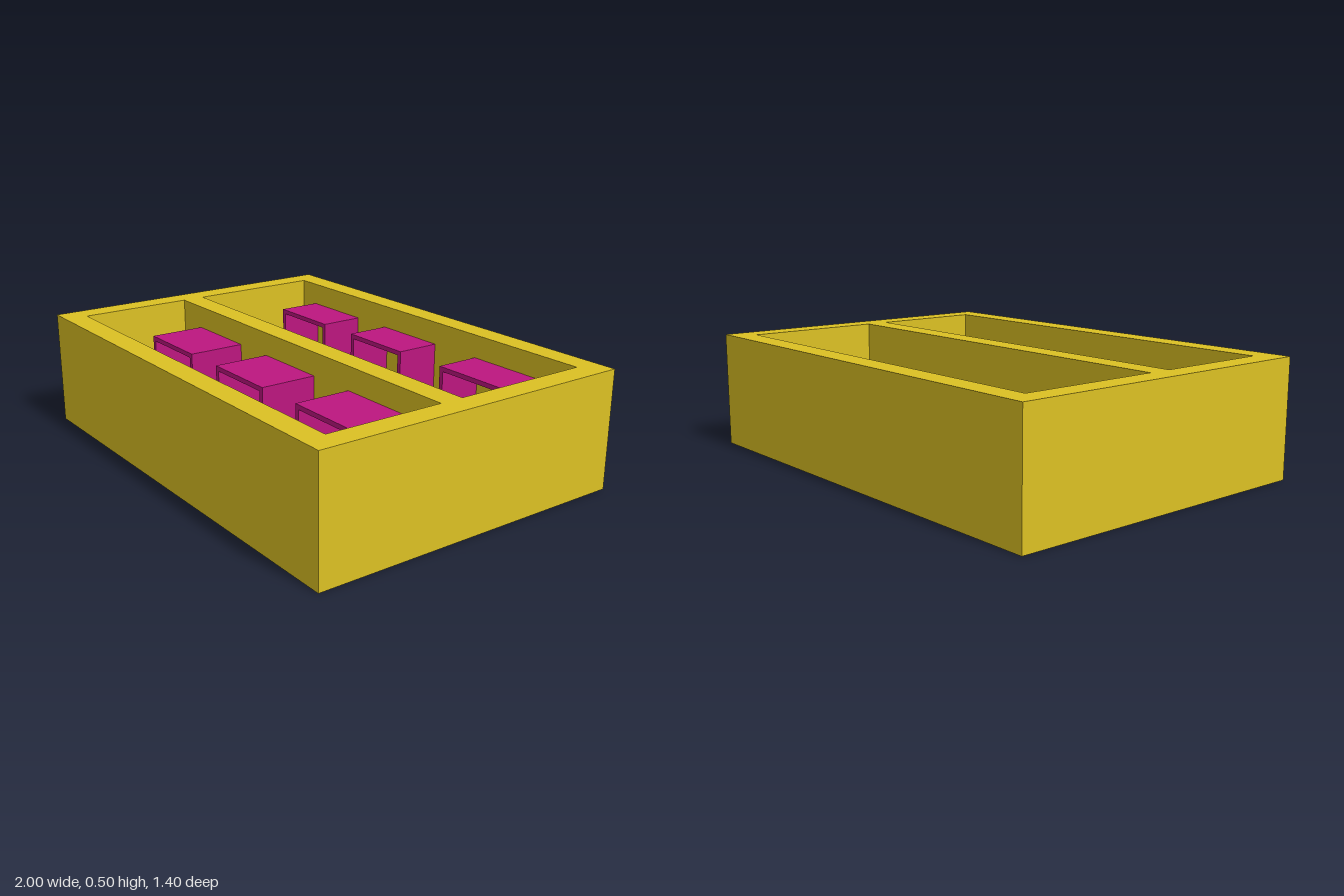
import * as THREE from 'three';

// Path around a rectangle, corner to corner
function rect(path, x0, y0, x1, y1) {
  path.moveTo(x0, y0);
  path.lineTo(x1, y0);
  path.lineTo(x1, y1);
  path.lineTo(x0, y1);
  path.closePath();
  return path;
}

// Rectangle with rectangular holes, extruded along z
function extrudeFrame(outer, holes, depth) {
  const shape = rect(new THREE.Shape(), ...outer);
  for (const h of holes) shape.holes.push(rect(new THREE.Path(), ...h));
  return new THREE.ExtrudeGeometry(shape, { depth, bevelEnabled: false });
}

export function createModel() {
  const model = new THREE.Group();
  model.name = 'dividedTray';
  const yellow = new THREE.MeshStandardMaterial({ color: 0xdcc123 });
  const magenta = new THREE.MeshStandardMaterial({ color: 0xbc167f });

  // Open frame with a dividing wall (shape y becomes -z)
  const frame = new THREE.Mesh(
    extrudeFrame([-1, -0.7, 1, 0.7], [[-0.9, 0, 0.9, 0.6], [-0.9, -0.6, 0.9, -0.1]], 0.5),
    yellow
  );
  frame.rotation.x = -Math.PI / 2;
  frame.name = 'outerFrame';
  model.add(frame);

  // Two rows of thin-walled cubbies, fixed to the wall behind them
  const width = 0.35, bottom = 0.1, top = 0.4, t = 0.02;
  const rows = [
    { name: 'backCubby', z: -0.6, depth: 0.2, lefts: [-0.8, -0.25, 0.35] },
    { name: 'frontCubby', z: 0.1, depth: 0.25, lefts: [-0.75, -0.2, 0.375] },
  ];
  for (const { name, z, depth, lefts } of rows) {
    const geometry = extrudeFrame([0, bottom, width, top], [[t, bottom + t, width - t, top - t]], depth);
    lefts.forEach((x, i) => {
      const cubby = new THREE.Mesh(geometry, magenta);
      cubby.position.set(x, 0, z);
      cubby.name = name + (i + 1);
      model.add(cubby);
    });
  }
  return model;
}
